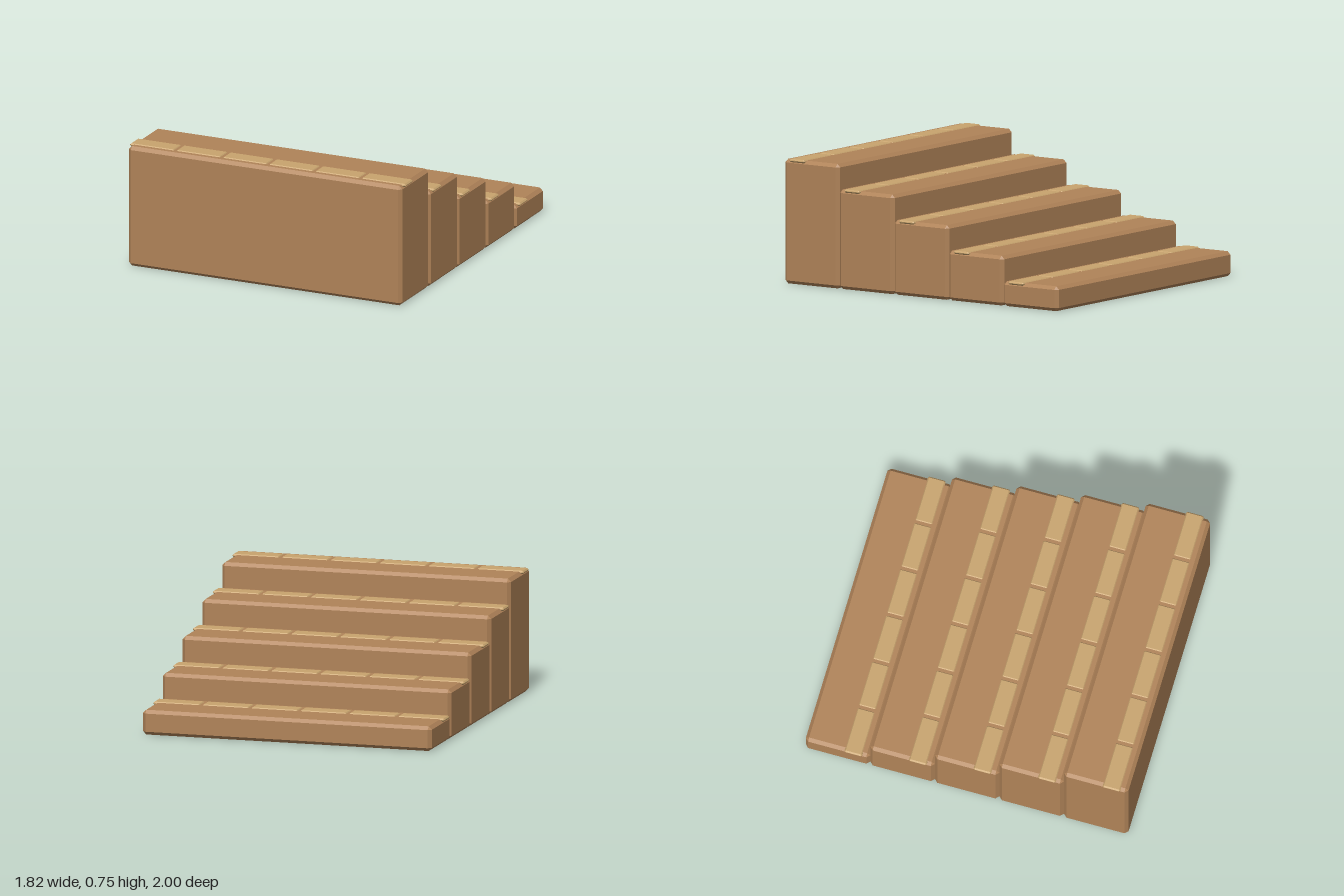
import * as THREE from 'three';
import { ConvexGeometry } from 'three/addons/geometries/ConvexGeometry.js';

// Box with every edge and corner chamfered by c, centred on the origin
function chamferBox(w, h, d, c) {
  const points = [];
  for (const sx of [-1, 1]) for (const sy of [-1, 1]) for (const sz of [-1, 1]) {
    for (const axis of [0, 1, 2]) {
      const cut = [c, c, c];
      cut[axis] = 0;
      points.push(new THREE.Vector3(
        sx * (w / 2 - cut[0]), sy * (h / 2 - cut[1]), sz * (d / 2 - cut[2])));
    }
  }
  return new ConvexGeometry(points);
}

export function createModel() {
  const model = new THREE.Group();
  model.name = 'stairs';

  const wood = new THREE.MeshStandardMaterial({ color: 0xb08358 });
  wood.name = 'brown wood';
  const paleWood = new THREE.MeshStandardMaterial({ color: 0xc8a46e });
  paleWood.name = 'pale wood';

  const steps = 5, rise = 0.15, run = 0.4, width = 1.8;
  const planks = 6, pitch = 0.305;
  const plankGeometry = chamferBox(0.291, 0.02, 0.11, 0.008);

  for (let i = 0; i < steps; i++) {
    const step = new THREE.Group();
    step.name = `step${i + 1}`;
    const height = rise * (i + 1);
    step.position.z = -0.8 + run * i;

    // Solid block from the ground up to the tread
    const block = new THREE.Mesh(chamferBox(width, height, run, 0.02), wood);
    block.name = 'stepBlock';
    block.position.y = height / 2;
    step.add(block);

    // Row of inlaid tread planks
    for (let j = 0; j < planks; j++) {
      const plank = new THREE.Mesh(plankGeometry, paleWood);
      plank.name = 'treadPlank';
      plank.position.set((j - (planks - 1) / 2) * pitch, height - 0.005, 0.1);
      step.add(plank);
    }
    model.add(step);
  }
  return model;
}
